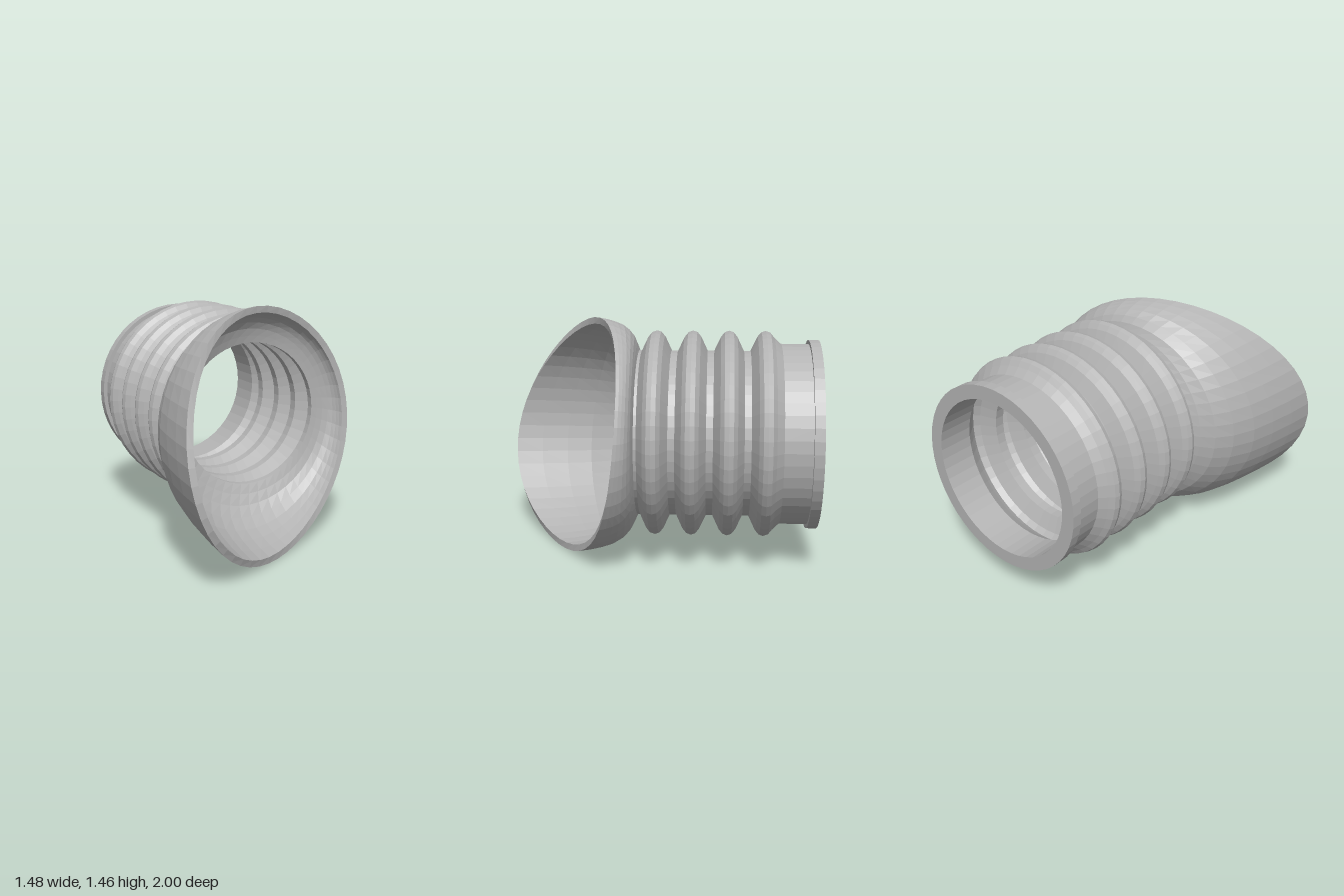
import * as THREE from 'three';

const SEGMENTS = 48;
const AXIS_X = 0.08, AXIS_Y = 0.77; // tube axis, parallel to z

export function createModel() {
  const model = new THREE.Group();
  const rubber = new THREE.MeshStandardMaterial({ color: 0xb4b4b4, flatShading: true });
  rubber.name = 'grey rubber';

  const add = (name, geometry) => {
    const mesh = new THREE.Mesh(geometry, rubber);
    mesh.name = name;
    model.add(mesh);
  };

  // Profile of [z, radius] pairs turned around the tube axis
  const turn = (profile) => new THREE.LatheGeometry(
    profile.map(([z, r]) => new THREE.Vector2(r, z)), SEGMENTS)
    .rotateX(Math.PI / 2).translate(AXIS_X, AXIS_Y, 0);

  // Back collar with flange
  add('collar', turn([
    [-0.78, 0.49], [-1, 0.49], [-1, 0.575], [-0.94, 0.575], [-0.94, 0.55], [-0.775, 0.55],
  ]));

  // Four hollow convolutions: outer skin forwards, inner skin backwards
  const outerRidge = [[-0.09, 0.505], [-0.05, 0.59], [-0.027, 0.618], [0, 0.627],
    [0.027, 0.618], [0.05, 0.59], [0.09, 0.505]];
  const innerRidge = [[-0.08, 0.447], [-0.035, 0.54], [0, 0.565], [0.035, 0.54], [0.08, 0.447]];
  const outer = [], inner = [];
  for (let i = 0; i < 4; i++) {
    const centre = -0.682 + 0.22 * i;
    const shift = ([z, r]) => [z + centre, r];
    outer.push(...outerRidge.map(shift));
    inner.push(...innerRidge.map(shift));
  }
  outer[0] = [-0.775, 0.55];
  inner[0] = [-0.78, 0.49];
  outer.push([0.085, 0.505]);
  inner.push([0.1, 0.447]);
  add('bellowsOuter', turn(outer));
  add('bellowsInner', turn(inner.reverse()));

  // Flared hood: loft from the round tube to the slanted, curved rim
  const flare = [[0, 0], [0.05, 0.21], [0.12, 0.43], [0.24, 0.63], [0.41, 0.79],
    [0.6, 0.885], [0.8, 0.955], [1, 1]]; // fractions of [depth, spread]
  const rimZ = (x, y) => 0.47 - 0.525 * x + 0.2 * x * x - 0.19 * y + 0.12 * x * y;
  const skin = (tubeRadius, tubeZ, rx, ry) => flare.map(([depth, spread]) => (angle) => {
    const c = Math.cos(angle), s = Math.sin(angle);
    const z = rimZ(0.735 * c, 0.73 * s);
    return [
      THREE.MathUtils.lerp(AXIS_X + tubeRadius * c, rx * c, spread),
      THREE.MathUtils.lerp(AXIS_Y + tubeRadius * s, 0.735 + ry * s, spread),
      THREE.MathUtils.lerp(tubeZ, z, depth),
    ];
  });
  const rows = [...skin(0.505, 0.085, 0.74, 0.732), ...skin(0.447, 0.1, 0.7, 0.692).reverse()];
  const positions = [], index = [];
  rows.forEach((row, i) => {
    for (let j = 0; j < SEGMENTS; j++) {
      positions.push(...row(j / SEGMENTS * Math.PI * 2));
      if (i === rows.length - 1) continue;
      const a = i * SEGMENTS + j, b = i * SEGMENTS + (j + 1) % SEGMENTS;
      index.push(a, b, b + SEGMENTS, a, b + SEGMENTS, a + SEGMENTS);
    }
  });
  const hood = new THREE.BufferGeometry();
  hood.setAttribute('position', new THREE.Float32BufferAttribute(positions, 3));
  hood.setIndex(index);
  hood.computeVertexNormals();
  add('hood', hood);

  return model;
}
